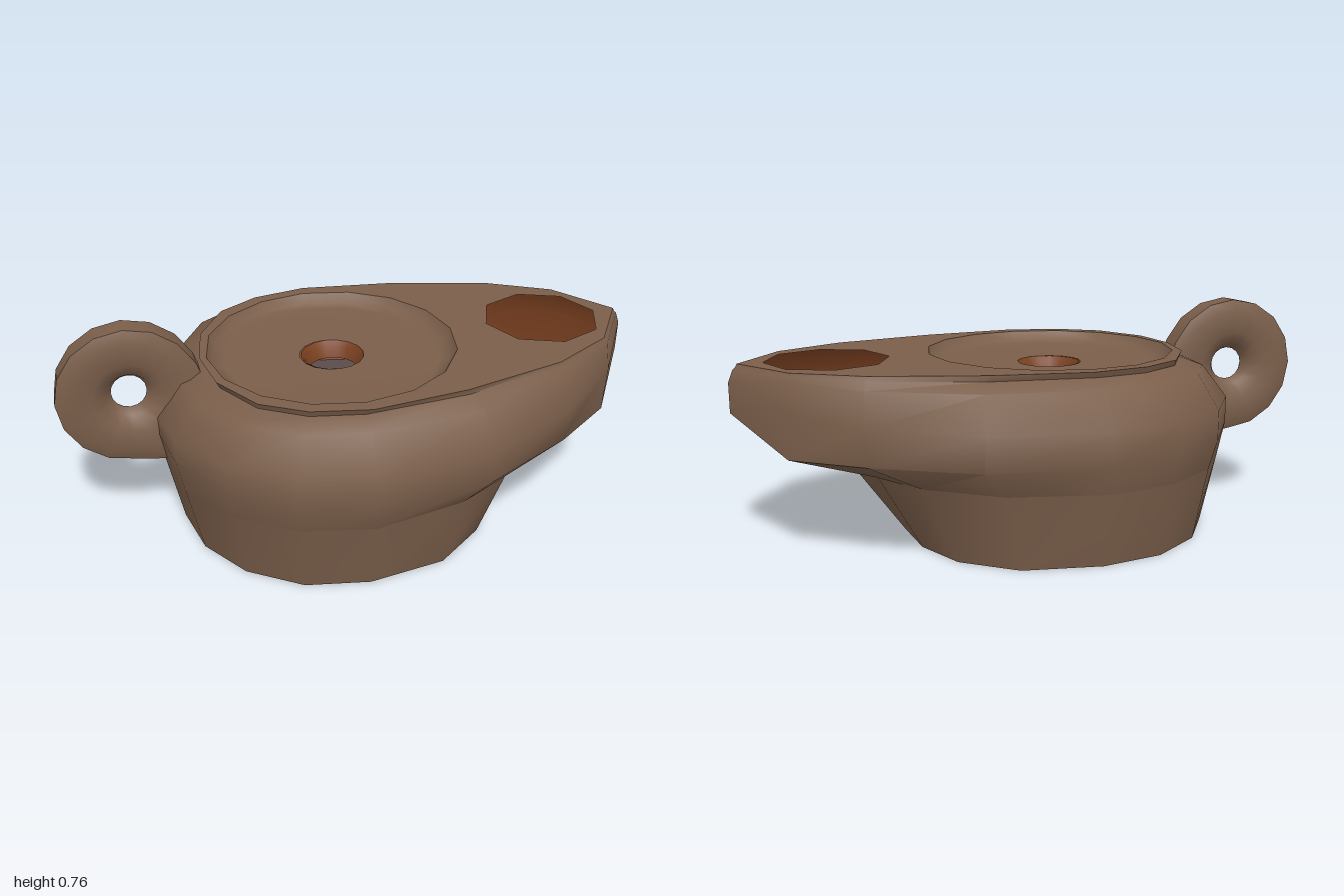
import * as THREE from 'three';
import { mergeVertices, toCreasedNormals } from 'three/addons/utils/BufferGeometryUtils.js';

// Half outlines [x, y, z] from the nozzle tip round to the back
const foot = [[.44, 0, 0], [.42, 0, .19], [.34, 0, .36], [.17, 0, .49], [-.09, 0, .53], [-.3, 0, .49], [-.47, 0, .37], [-.58, 0, .2], [-.62, 0, 0]];
const waist = [[.62, .25, 0], [.56, .25, .19], [.45, .25, .36], [.22, .25, .52], [-.09, .25, .585], [-.32, .25, .535], [-.5, .25, .41], [-.63, .25, .22], [-.67, .25, 0]];
const belly = [[1, .45, 0], [.84, .34, .23], [.62, .34, .39], [.3, .34, .56], [-.09, .34, .61], [-.33, .34, .56], [-.52, .35, .43], [-.65, .36, .23], [-.695, .38, 0]];
const shoulder = [[1, .55, 0], [.845, .5, .235], [.63, .46, .395], [.3, .45, .56], [-.09, .45, .61], [-.33, .45, .56], [-.52, .45, .43], [-.65, .45, .23], [-.695, .43, 0]];
const slope = [[.985, .59, 0], [.835, .59, .222], [.62, .57, .365], [.28, .565, .495], [-.09, .565, .53], [-.3, .565, .49], [-.47, .565, .37], [-.57, .56, .2], [-.61, .55, 0]];
const neck = [[.975, .6, 0], [.83, .6, .217], [.61, .595, .345], [.26, .59, .43], [-.09, .59, .463], [-.26, .59, .43], [-.4, .59, .34], [-.49, .59, .18], [-.515, .59, 0]];
const rim = [[.97, .61, 0], [.825, .61, .214], [.605, .61, .34], [.25, .61, .435], [-.07, .61, .475], [-.26, .61, .437], [-.4, .61, .35], [-.5, .61, .18], [-.528, .61, 0]];

const mirrorRing = (half) => [...half, ...half.slice(1, -1).reverse().map(([x, y, z]) => [x, y, -z])];

// Skin a stack of mirrored rings
function loft(halves, crease) {
  const rings = halves.map(mirrorRing);
  const n = rings[0].length;
  const index = [];
  for (let i = 0; i < rings.length - 1; i++) {
    for (let j = 0; j < n; j++) {
      const a = i * n + j, b = i * n + (j + 1) % n;
      index.push(a, a + n, b, b, a + n, b + n);
    }
  }
  const g = new THREE.BufferGeometry();
  g.setAttribute('position', new THREE.Float32BufferAttribute(rings.flat(2), 3));
  g.setIndex(index);
  return toCreasedNormals(g, crease);
}

// Flat plate following a ring, facing up
function plate(half, holes = []) {
  const shape = new THREE.Shape(mirrorRing(half).map(([x, , z]) => new THREE.Vector2(x, -z)));
  for (const [x, r, n] of holes) {
    const pts = [];
    for (let i = 0; i < n; i++) {
      const t = i / n * Math.PI * 2;
      pts.push(new THREE.Vector2(x + r * Math.cos(t), r * Math.sin(t)));
    }
    shape.holes.push(new THREE.Path(pts));
  }
  return new THREE.ShapeGeometry(shape).rotateX(-Math.PI / 2).translate(0, half[0][1], 0);
}

const vecs = (pts) => pts.map(([r, y]) => new THREE.Vector2(r, y));

export function createModel() {
  const group = new THREE.Group();
  const clay = new THREE.MeshStandardMaterial({ color: 0x7a5e4a });
  const inside = new THREE.MeshStandardMaterial({ color: 0x7a4020, side: THREE.BackSide });
  const burnt = new THREE.MeshStandardMaterial({ color: 0x7a4020, side: THREE.DoubleSide });
  const dark = new THREE.MeshStandardMaterial({ color: 0x5a4c4a });
  const add = (name, geometry, material) => {
    const mesh = new THREE.Mesh(geometry, material);
    mesh.name = name;
    group.add(mesh);
    return mesh;
  };

  // Foot and its underside
  add('foot', loft([foot, waist], 0.7), clay);
  add('footUnderside', plate(foot).rotateX(Math.PI), clay);

  // Bowl with nozzle, and its inner face
  const bowl = loft([waist, belly, shoulder, slope, neck, rim], 0.9);
  add('bowl', bowl, clay);
  add('bowlInside', bowl, inside);
  add('bowlFloor', plate(waist), dark);

  // Top with openings for the sunken disc and the wick
  const discX = -0.08, discR = 0.425, sides = 16;
  add('top', plate(rim, [[discX, discR, sides], [0.685, 0.205, 8]]), clay);

  // Sunken disc and filling hole
  const disc = new THREE.LatheGeometry(vecs([[discR, .61], [.405, .578], [.37, .568], [.11, .565]]), sides, Math.PI / 2);
  add('disc', disc, clay).position.x = discX;
  const hole = new THREE.LatheGeometry(vecs([[.11, .565], [.095, .545], [.082, .51]]), sides, Math.PI / 2);
  add('fillingHole', hole, burnt).position.x = discX + 0.005;

  // Ring handle, flared where it meets the bowl
  const profile = vecs([[.058, 0], [.075, -.03], [.12, -.055], [.2, -.055], [.237, -.04],
    [.237, .04], [.2, .055], [.12, .055], [.075, .03], [.058, 0]]);
  let ring = new THREE.LatheGeometry(profile, 16).rotateX(Math.PI / 2);
  ring.deleteAttribute('uv');
  ring.deleteAttribute('normal');
  ring = mergeVertices(ring, 1e-4);
  const p = ring.attributes.position;
  for (let i = 0; i < p.count; i++) {
    const x = p.getX(i), y = p.getY(i), r = Math.hypot(x, y);
    if (r < 0.1) continue;
    const flare = 1 + 0.16 * Math.max(0, (0.45 * x - 0.9 * y) / r) * (x > 0 ? 1 : 0);
    p.setXY(i, x * flare, y * flare);
  }
  add('handle', toCreasedNormals(ring, 0.9), clay).position.set(-0.765, 0.523, 0);

  return group;
}
